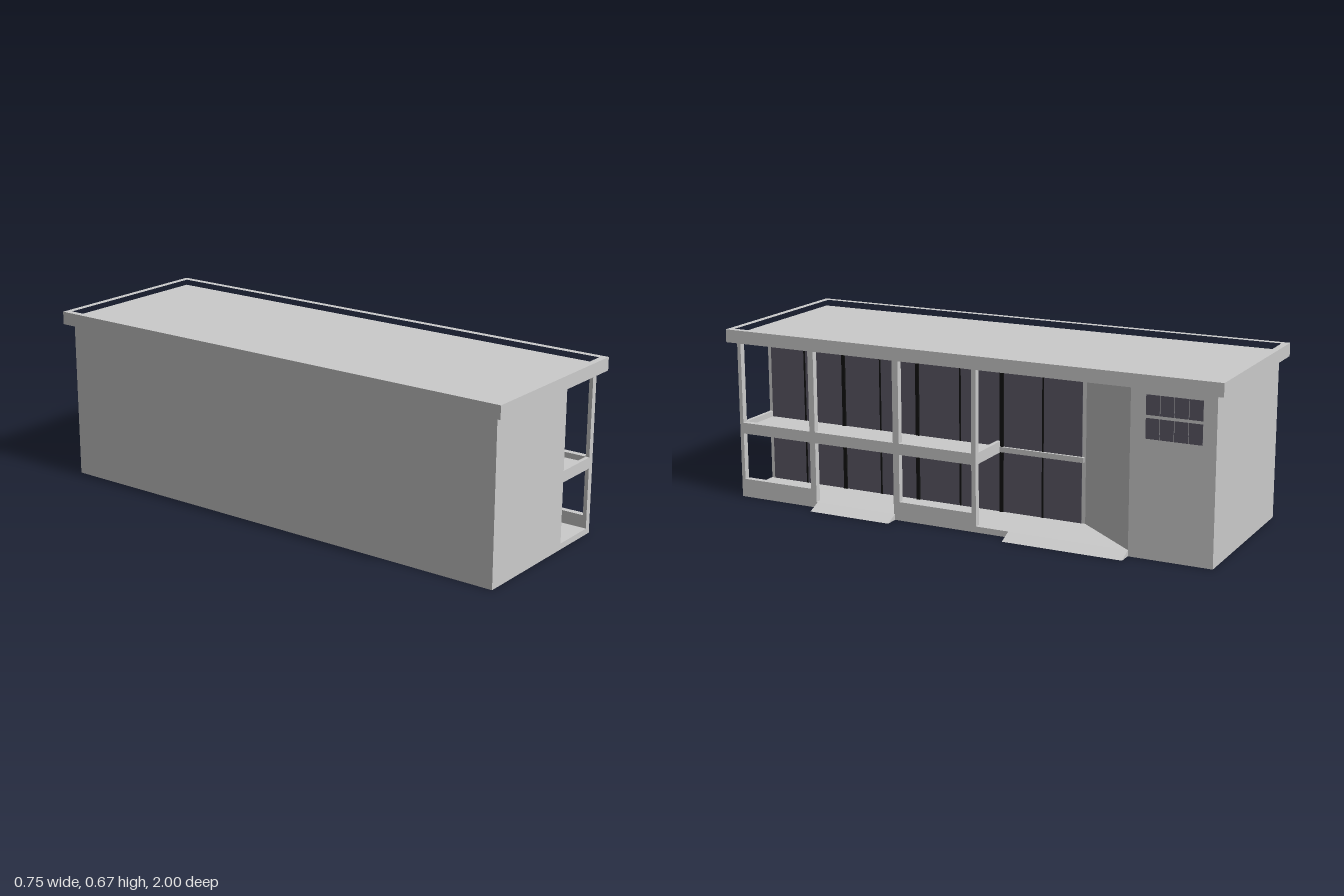
import * as THREE from 'three';

const grey = new THREE.MeshStandardMaterial({ color: 0xcccccc, flatShading: true });
const glass = new THREE.MeshStandardMaterial({ color: 0x5a5864 });
const black = new THREE.MeshStandardMaterial({ color: 0x111111 });

// Main levels and planes
const FLOOR = 0.023, EAVES = 0.617, TOP = 0.667;
const FACADE = 0.317, GLASS_X = 0.11, INNER = 0.293;
const END = 0.97, BALCONY_END = -0.055;

export function createModel() {
  const model = new THREE.Group();

  const add = (name, geometry, material = grey) => {
    const mesh = new THREE.Mesh(geometry, material);
    mesh.name = name;
    model.add(mesh);
    return mesh;
  };
  // Box given by its limits on each axis
  const box = (name, x0, x1, y0, y1, z0, z1, material) => {
    const g = new THREE.BoxGeometry(x1 - x0, y1 - y0, z1 - z0);
    g.translate((x0 + x1) / 2, (y0 + y1) / 2, (z0 + z1) / 2);
    return add(name, g, material);
  };
  // Upright extrusion of a plan outline given as [x, z] points
  const plan = (name, points, y0, y1, hole) => {
    const toShape = (p) => p.map(([x, z]) => new THREE.Vector2(x, -z));
    const shape = new THREE.Shape(toShape(points));
    if (hole) shape.holes.push(new THREE.Path(toShape(hole)));
    const g = new THREE.ExtrudeGeometry(shape, { depth: y1 - y0, bevelEnabled: false });
    g.rotateX(-Math.PI / 2).translate(0, y0, 0);
    return add(name, g);
  };
  const rect = (x0, x1, z0, z1) => [[x0, z0], [x1, z0], [x1, z1], [x0, z1]];

  // Ground slab and the enclosed body with its slanted entrance wall
  box('groundSlab', -0.345, FACADE, 0, FLOOR, -END, END);
  plan('body', [
    [-0.345, -END], [FACADE, -END], [FACADE, -0.655],
    [GLASS_X, -0.4], [GLASS_X, END], [-0.345, END],
  ], FLOOR, EAVES);

  // Flat roof with a raised rim
  box('roofSlab', -0.375, 0.345, EAVES, 0.637, -1, 1);
  plan('roofRim', rect(-0.375, 0.345, -1, 1), 0.637, TOP, rect(-0.35, 0.32, -0.975, 0.975));

  // Glazed wall behind the veranda, with thick and thin mullions
  box('glazing', GLASS_X, GLASS_X + 0.002, FLOOR, EAVES, -0.385, 0.955, glass);
  for (const z of [0.622, 0.297, -0.06]) {
    box('thickMullion', GLASS_X, GLASS_X + 0.008, FLOOR, EAVES, z - 0.007, z + 0.007, black);
  }
  for (const z of [0.8, 0.46, 0.115, -0.228]) {
    box('thinMullion', GLASS_X, GLASS_X + 0.005, FLOOR, EAVES, z - 0.003, z + 0.003, black);
  }
  box('glazingLedge', GLASS_X, GLASS_X + 0.012, 0.257, 0.277, -0.395, BALCONY_END);

  // Balcony floor with a rim on its three open sides
  box('balconyFloor', GLASS_X, FACADE, 0.255, 0.277, BALCONY_END, END);
  box('balconySideRim', INNER, FACADE, 0.255, 0.298, BALCONY_END, END);
  for (const z of [BALCONY_END, 0.955]) {
    box('balconyEndRim', GLASS_X, INNER, 0.255, 0.298, z, z + 0.015);
  }

  // Veranda posts
  for (const [z0, z1] of [[0.955, END], [0.63, 0.654], [0.265, 0.29], [BALCONY_END, -0.037]]) {
    box('post', INNER, FACADE, FLOOR, EAVES, z0, z1);
  }

  // Low walls between the posts of the bays without a ramp
  for (const [z0, z1] of [[0.654, 0.955], [-0.037, 0.265]]) {
    box('lowWall', INNER, FACADE, FLOOR, 0.072, z0, z1);
  }

  // Entrance ramps
  for (const [z0, z1] of [[0.285, 0.625], [-0.655, -0.187]]) {
    const wedge = new THREE.Shape([
      new THREE.Vector2(FACADE, 0), new THREE.Vector2(0.37, 0), new THREE.Vector2(FACADE, FLOOR),
    ]);
    const g = new THREE.ExtrudeGeometry(wedge, { depth: z1 - z0, bevelEnabled: false });
    add('ramp', g.translate(0, 0, z0));
  }

  // Side window: two rows of four panes
  const paneW = 0.0505, pitch = 0.0525;
  for (const [y0, y1] of [[0.435, 0.509], [0.52, 0.592]]) {
    for (let i = 0; i < 4; i++) {
      const z = -0.92 + i * pitch;
      box('windowPane', FACADE - 0.005, FACADE + 0.001, y0, y1, z, z + paneW, glass);
    }
  }

  return model;
}
